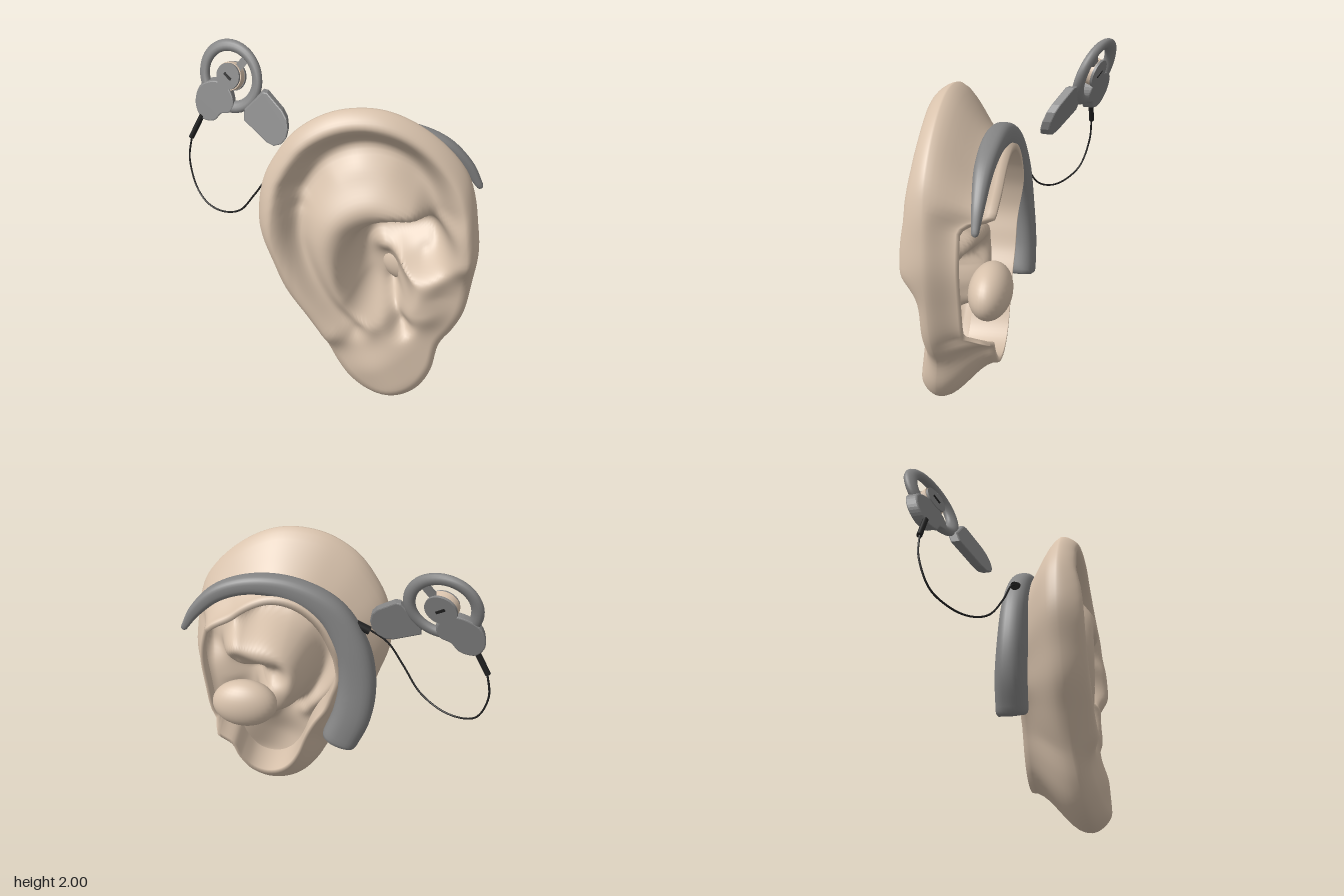
import * as THREE from 'three';

const V = (x, y, z = 0) => new THREE.Vector3(x, y, z);
const mat = (name, color, side = THREE.FrontSide) => {
  const m = new THREE.MeshStandardMaterial({ color, side });
  m.name = name;
  return m;
};
const smooth = THREE.MathUtils.smoothstep;
const lerp = THREE.MathUtils.lerp;

// Surface through a list of closed rings with equal point counts
function loft(rings) {
  const n = rings[0].length, pos = [], idx = [];
  rings.forEach(r => r.forEach(p => pos.push(p.x, p.y, p.z)));
  for (let k = 0; k < rings.length - 1; k++)
    for (let i = 0; i < n; i++) {
      const j = (i + 1) % n, a = k * n, b = a + n;
      idx.push(a + i, a + j, b + i, a + j, b + j, b + i);
    }
  const g = new THREE.BufferGeometry();
  g.setAttribute('position', new THREE.Float32BufferAttribute(pos, 3));
  g.setIndex(idx);
  g.computeVertexNormals();
  return g;
}

// Ear outline, clockwise from the top
const OUTLINE = [[0.22, 1.91], [0.38, 1.9], [0.55, 1.83], [0.72, 1.7], [0.83, 1.56], [0.88, 1.42], [0.91, 1.25],
  [0.93, 1.08], [0.91, 0.85], [0.88, 0.64], [0.83, 0.52], [0.75, 0.39], [0.71, 0.2], [0.64, 0.08], [0.55, 0.02],
  [0.44, 0], [0.32, 0.03], [0.22, 0.1], [0.13, 0.22], [0.04, 0.39], [-0.08, 0.58], [-0.2, 0.76], [-0.27, 0.95],
  [-0.33, 1.13], [-0.34, 1.25], [-0.31, 1.45], [-0.24, 1.6], [-0.12, 1.76], [0.05, 1.87]];

// Ridges (+) and hollows (-) of the ear: path, height, width, sharpness
const FOLDS = [
  // helix
  { h: 0.09, w: 0.12, e: 2, p: [[0.86, 1.05], [0.83, 1.25], [0.77, 1.47], [0.62, 1.68], [0.4, 1.81], [0.2, 1.83],
    [-0.04, 1.73], [-0.2, 1.5], [-0.26, 1.25], [-0.21, 1], [-0.08, 0.75], [0.08, 0.5]] },
  // scapha
  { h: -0.11, w: 0.1, e: 2, p: [[0.68, 1.32], [0.6, 1.51], [0.45, 1.65], [0.22, 1.69], [0.03, 1.59], [-0.09, 1.42]] },
  // lower scapha
  { h: -0.07, w: 0.07, e: 2, p: [[-0.11, 1.28], [-0.1, 1.1], [-0.02, 0.88], [0.1, 0.68], [0.24, 0.54]] },
  // antihelix
  { h: 0.1, w: 0.13, e: 2, p: [[0.28, 0.6], [0.14, 0.78], [0.07, 1.02], [0.12, 1.24], [0.3, 1.35], [0.52, 1.31]] },
  // concha
  { h: -0.3, w: 0.16, e: 4, p: [[0.6, 1.09], [0.45, 1.09], [0.36, 1.02], [0.34, 0.9], [0.37, 0.79]] },
  // root of the helix
  { h: 0.09, w: 0.075, e: 2, p: [[0.4, 0.98], [0.52, 1], [0.64, 1.04]] },
  // tragus
  { h: 0.06, w: 0.12, e: 2, p: [[0.65, 0.9], [0.61, 0.78], [0.64, 0.66]] },
  // notch
  { h: -0.12, w: 0.055, e: 2, p: [[0.46, 0.68], [0.48, 0.6], [0.51, 0.54]] },
  // lobe
  { h: 0.12, w: 0.24, e: 2, p: [[0.4, 0.26], [0.47, 0.14]] },
].map(f => ({ ...f, p: new THREE.CatmullRomCurve3(f.p.map(q => V(...q))).getPoints(120) }));

function earHeight(x, y) {
  let z = lerp(0.375, 0.345, smooth(y, 1.1, 1.7));
  for (const f of FOLDS) {
    let d = Infinity;
    for (const p of f.p) d = Math.min(d, Math.hypot(p.x - x, p.y - y));
    z += f.h * Math.exp(-((d / f.w) ** f.e));
  }
  return z;
}

function earGeometry() {
  const N = 140, C = V(0.4, 0.9), RIM = 0.87;
  const edge = new THREE.CatmullRomCurve3(OUTLINE.map(p => V(...p)), true).getSpacedPoints(N).slice(0, N);
  const at = (p, s, z) => V(lerp(C.x, p.x, s), lerp(C.y, p.y, s), z);
  const rimZ = p => lerp(0.36, 0.31, smooth(p.y, 0, 0.5));
  const rings = [];
  // front relief, rolling over at the rim
  for (let k = 0; k <= 46; k++) {
    const s = k < 34 ? 0.0005 + RIM * k / 34 : RIM + (1 - RIM) * Math.sin((k - 34) / 12 * Math.PI / 2);
    const roll = Math.sqrt(Math.max(0, 1 - (Math.max(0, s - RIM) / (1 - RIM)) ** 2));
    rings.push(edge.map(p => {
      const q = at(p, s, 0);
      q.z = lerp(rimZ(p), earHeight(q.x, q.y), roll);
      return q;
    }));
  }
  // wall behind the rim, with an opening on the face side; fuller at the lobe and outer side
  const back = edge.map(p => {
    const d = p.clone().sub(C).normalize();
    const notch = smooth(d.x, 0.55, 0.75) * smooth(p.y, 0.5, 0.58) * (1 - smooth(p.y, 1.4, 1.5));
    return { s: 0.7 + 0.19 * smooth(d.x, 0.3, 0.9) - 0.09 * smooth(-d.x, 0, 0.9),
      z: lerp(lerp(0, -0.045, smooth(p.y, 1, 1.6)), 0.14, notch),
      full: 1.5 + 0.6 * Math.max(1 - smooth(p.y, 0.1, 0.5), smooth(-d.x, 0.4, 0.9)) };
  });
  for (let k = 1; k <= 10; k++) {
    const t = k / 10;
    rings.push(edge.map((p, i) => at(p, lerp(1, back[i].s, Math.sin(t * Math.PI / 2) ** back[i].full),
      lerp(rimZ(p), back[i].z, t))));
  }
  // cut edge and inner wall
  rings.push(edge.map((p, i) => at(p, back[i].s - 0.04, back[i].z)));
  rings.push(edge.map((p, i) => at(p, back[i].s - 0.03, 0.24)));
  return loft(rings);
}

// Tapered hook and body: centre points with half width and half depth
function processorGeometry() {
  const data = [[0.92, 1.34, 0.03, 0.02, 0.02], [0.84, 1.46, 0.03, 0.038, 0.035], [0.69, 1.59, 0.035, 0.052, 0.052],
    [0.48, 1.655, 0.035, 0.06, 0.062], [0.24, 1.63, 0.035, 0.075, 0.066], [0.01, 1.5, 0.03, 0.092, 0.075],
    [-0.12, 1.27, 0.02, 0.108, 0.085], [-0.155, 1.03, 0.01, 0.118, 0.09], [-0.125, 0.81, -0.005, 0.122, 0.095],
    [-0.055, 0.635, -0.015, 0.118, 0.095]];
  const path = new THREE.CatmullRomCurve3(data.map(d => V(d[0], d[1], d[2])));
  const size = new THREE.CatmullRomCurve3(data.map(d => V(d[3], d[4])));
  const ring = (u, grow, push = 0) => {
    const c = path.getPoint(u), t = path.getTangent(u), r = size.getPoint(u);
    const n = V(-t.y, t.x).normalize();
    c.addScaledVector(t, push);
    return Array.from({ length: 28 }, (_, i) => {
      const a = i / 28 * Math.PI * 2, box = v => Math.sign(v) * Math.abs(v) ** 0.8;
      const q = c.clone().addScaledVector(n, box(Math.cos(a)) * r.x * grow);
      q.z += box(Math.sin(a)) * r.y * grow;
      return q;
    });
  };
  const rings = [ring(0, 0.001, -0.02), ring(0, 0.7, -0.012)];
  for (let k = 0; k <= 60; k++) rings.push(ring(k / 60, 1));
  rings.push(ring(1, 0.95, 0.02), ring(1, 0.82, 0.032), ring(1, 0.001, 0.036));
  return loft(rings);
}

export function createModel() {
  const model = new THREE.Group();
  const skin = mat('skin', 0xd8c2ac, THREE.DoubleSide);
  const grey = mat('grey plastic', 0x858585);
  const black = mat('black rubber', 0x222222);
  const add = (name, geo, material, parent = model) => {
    const m = new THREE.Mesh(geo, material);
    m.name = name;
    parent.add(m);
    return m;
  };
  const rod = (name, a, b, r, material) => {
    const m = add(name, new THREE.CylinderGeometry(r, r, a.distanceTo(b), 12), material);
    m.position.copy(a).lerp(b, 0.5);
    m.quaternion.setFromUnitVectors(V(0, 1, 0), b.clone().sub(a).normalize());
  };

  // Ear
  add('ear', earGeometry(), skin);
  const canal = add('earCanal', new THREE.SphereGeometry(1, 32, 20), skin);
  canal.scale.set(0.21, 0.16, 0.125);
  canal.position.set(0.57, 0.81, 0.035);

  // Behind-the-ear unit
  add('processor', processorGeometry(), grey);

  // Leaning flat parts: geometry is drawn upright, then slanted in depth
  const slant = (geo, zx, zy) => geo.applyMatrix4(new THREE.Matrix4().set(1, 0, 0, 0, 0, 1, 0, 0, zx, zy, 1, 0, 0, 0, 0, 1));
  const rounded = points => new THREE.CatmullRomCurve3(points.map(p => V(...p)), true).getPoints(48).slice(0, 48)
    .map(p => [p.x, p.y]);
  const plate = (points, depth) => new THREE.ExtrudeGeometry(new THREE.Shape(points.map(p => new THREE.Vector2(...p))),
    { depth, bevelSize: 0.008, bevelThickness: 0.008, bevelSegments: 2 }).translate(0, 0, -depth / 2);

  // Headpiece: ring, spoke and cable housing
  const head = new THREE.Group();
  head.name = 'headpiece';
  head.position.set(-0.635, 1.785, -0.38);
  model.add(head);
  const piece = (name, geo) => add(name, slant(geo, 0.36, -0.3), grey, head);
  piece('coilRing', new THREE.TorusGeometry(0.18, 0.034, 14, 48));
  piece('spoke', new THREE.BoxGeometry(0.12, 0.045, 0.035).translate(0.12, 0, 0).rotateZ(0.85));
  piece('cableHousing', plate(rounded([[-0.23, -0.19], [-0.2, -0.085], [-0.1, -0.04], [-0.02, -0.06], [0.02, -0.14],
    [0, -0.195], [-0.06, -0.215], [-0.11, -0.265], [-0.19, -0.265]]), 0.055));

  // Hub: skin-toned core between two grey discs, with a black slot
  const hub = new THREE.Group();
  hub.name = 'hub';
  hub.quaternion.setFromUnitVectors(V(0, 0, 1), V(-0.36, 0.3, 1).normalize());
  head.add(hub);
  const disc = (r, d, z) => new THREE.CylinderGeometry(r, r, d, 32).rotateX(Math.PI / 2).translate(0, 0, z);
  add('hubCore', disc(0.088, 0.045, 0), skin, hub);
  add('hubFront', disc(0.082, 0.016, 0.029), grey, hub);
  add('hubBack', disc(0.092, 0.016, -0.029), grey, hub);
  add('hubSlot', new THREE.BoxGeometry(0.06, 0.016, 0.084).rotateZ(-0.65), black, hub);

  // Magnet block, flat towards the headpiece and round at the far end
  const block = add('magnetBlock', slant(plate([[-0.14, -0.04], [-0.14, 0.015], [-0.025, 0.135], [0, 0.135], [0.1, 0.055],
    [0.128, 0.015], [0.138, -0.04], [0.128, -0.09], [0.1, -0.125], [0.055, -0.143], [0.01, -0.132]], 0.045), 0.4, -0.35), grey);
  block.position.set(-0.383, 1.603, -0.213);

  // Cable with sleeve and plug
  rod('cableSleeve', V(-0.825, 1.53, -0.345), V(-0.91, 1.37, -0.345), 0.017, black);
  const cable = new THREE.CatmullRomCurve3([V(-0.905, 1.38, -0.345), V(-0.93, 1.22, -0.335), V(-0.88, 1.04, -0.28),
    V(-0.79, 0.97, -0.2), V(-0.67, 0.965, -0.12), V(-0.54, 1.03, -0.04), V(-0.43, 1.18, 0.015), V(-0.33, 1.32, 0.035),
    V(-0.2, 1.41, 0.035)]);
  add('cable', new THREE.TubeGeometry(cable, 64, 0.006, 8), black);
  rod('cablePlug', V(-0.22, 1.39, 0.035), V(-0.14, 1.43, 0.035), 0.026, black);

  return model;
}
